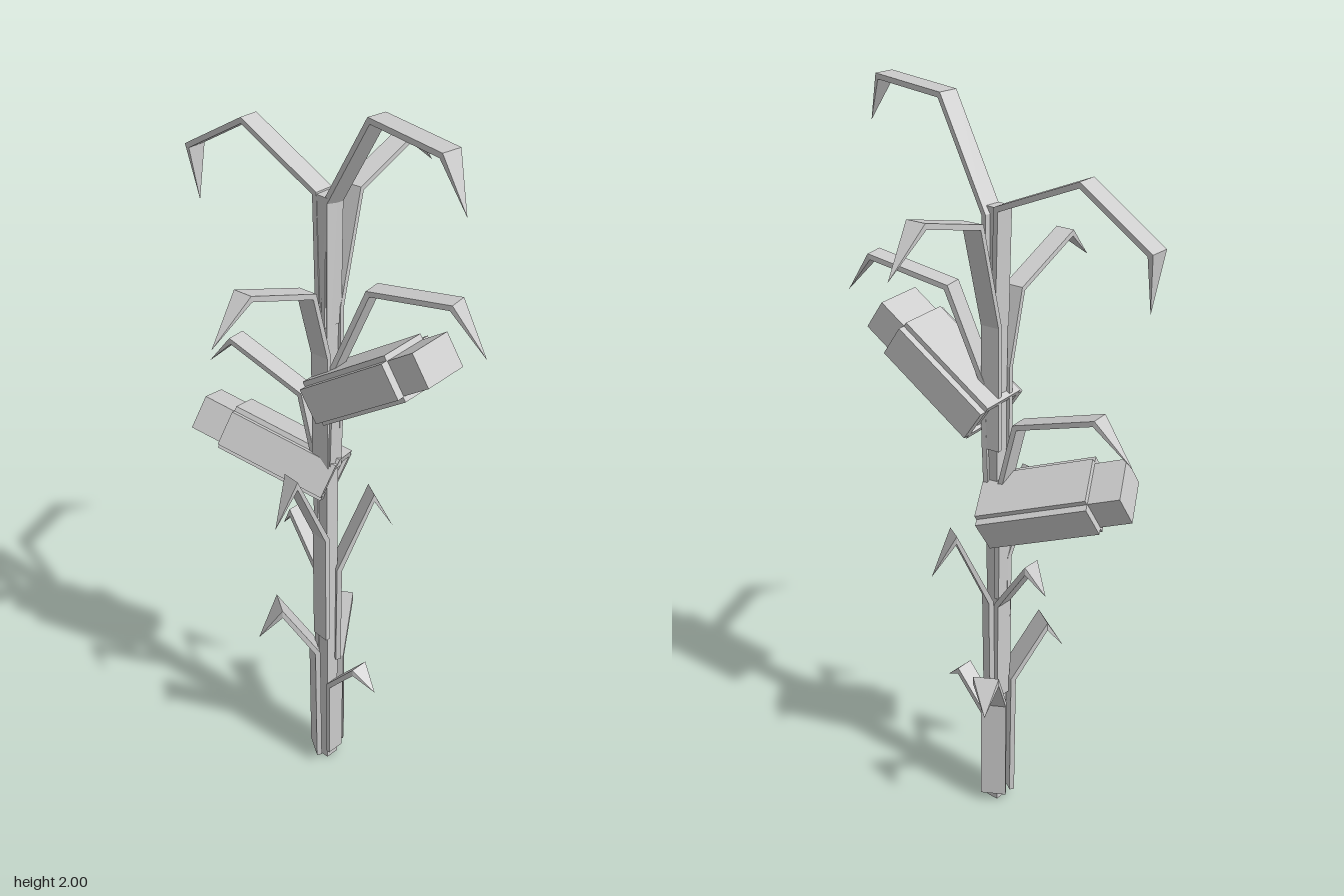
import * as THREE from 'three';

const V = (a) => new THREE.Vector3(...a);
const mat = new THREE.MeshStandardMaterial({ color: 0xcccccc, flatShading: true, side: THREE.DoubleSide });

function mesh(geometry, name) {
  const m = new THREE.Mesh(geometry, mat);
  m.name = name;
  return m;
}

// Bent strip with a rectangular section, ending in a point
function leafGeometry(path, width, thick) {
  const pts = path.map(V);
  const last = pts.length - 1;
  const run = pts[last].clone().sub(pts[0]);
  const side = new THREE.Vector3(run.z, 0, -run.x).normalize();
  const rings = pts.map((p, i) => {
    const before = p.clone().sub(pts[Math.max(i - 1, 0)]).normalize();
    const after = pts[Math.min(i + 1, last)].clone().sub(p).normalize();
    const tangent = before.clone().add(after).normalize();
    const normal = tangent.clone().cross(side).normalize();
    // Mitre the bends so the thickness stays even
    const miter = i > 0 && i < last ? 1 / Math.max(tangent.dot(after), 0.6) : 1;
    const k = i === last ? 0 : 0.5;
    return [[1, 1], [-1, 1], [-1, -1], [1, -1]].map(([a, b]) => p.clone()
      .addScaledVector(side, a * k * width)
      .addScaledVector(normal, b * k * thick * miter));
  });
  const out = [];
  const tri = (...c) => c.forEach((v) => out.push(v.x, v.y, v.z));
  for (let i = 0; i < last; i++) {
    for (let j = 0; j < 4; j++) {
      const a = rings[i][j], b = rings[i][(j + 1) % 4];
      const c = rings[i + 1][(j + 1) % 4], d = rings[i + 1][j];
      tri(a, b, c);
      if (i < last - 1) tri(a, c, d);
    }
  }
  const [a, b, c, d] = rings[0];
  tri(a, c, b);
  tri(a, d, c);
  const g = new THREE.BufferGeometry();
  g.setAttribute('position', new THREE.Float32BufferAttribute(out, 3));
  g.computeVertexNormals();
  return g;
}

// Ear: a core box with four husk plates around it
function cob(start, end, up, name) {
  const s = V(start), dir = V(end).sub(s);
  const length = dir.length(), husk = length * 0.78;
  const z = dir.normalize();
  const x = V(up).cross(z).normalize();
  const y = z.clone().cross(x);
  const group = new THREE.Group();
  group.name = name;
  group.position.copy(s);
  group.quaternion.setFromRotationMatrix(new THREE.Matrix4().makeBasis(x, y, z));
  const box = (w, h, l, px, py, from, label) => {
    const m = mesh(new THREE.BoxGeometry(w, h, l), label);
    m.position.set(px, py, from + l / 2);
    group.add(m);
  };
  box(0.135, 0.092, length - 0.01, 0, 0, 0.01, 'kernelCore');
  for (const k of [-1, 1]) {
    box(0.025, 0.095, husk, k * 0.077, 0, 0, 'sideHusk');
    box(0.14, 0.018, husk, 0, k * 0.052, 0, 'flatHusk');
  }
  return group;
}

export function createModel() {
  const root = new THREE.Group();
  root.name = 'cornPlant';

  // Stalk
  const stalk = mesh(new THREE.BoxGeometry(0.04, 1.76, 0.036), 'stalk');
  stalk.position.set(-0.013, 0.88, 0);
  root.add(stalk);

  // Leaves: sheath foot, bends, tip
  const leaves = {
    crownBackLeaf: [[-0.01, 1.45, -0.012], [-0.008, 1.76, -0.022], [-0.005, 1.87, -0.27], [-0.005, 1.75, -0.47], [-0.005, 1.6, -0.46]],
    crownFrontLeaf: [[-0.012, 1.42, 0.012], [-0.005, 1.74, 0.01], [-0.03, 1.995, 0.17], [-0.068, 1.995, 0.41], [-0.076, 1.87, 0.47]],
    upperLeftLeaf: [[0.008, 1.12, 0], [0.012, 1.46, -0.003], [0.095, 1.74, -0.018], [0.315, 1.805, -0.044], [0.42, 1.7, -0.052]],
    upperRightLeaf: [[-0.034, 1, 0], [-0.036, 1.34, 0], [-0.09, 1.53, 0.006], [-0.31, 1.613, 0.024], [-0.42, 1.52, 0.033]],
    upperFrontLeaf: [[-0.01, 1, 0.018], [-0.005, 1.3, 0.024], [0.02, 1.54, 0.12], [0.052, 1.575, 0.35], [0.06, 1.46, 0.44]],
    middleBackLeaf: [[-0.013, 0.68, -0.018], [-0.013, 1, -0.022], [-0.02, 1.2, -0.07], [-0.042, 1.275, -0.3], [-0.05, 1.17, -0.4]],
    middleLeftLeaf: [[0.01, 0.36, 0.008], [0.012, 0.67, 0.01], [0.1, 0.885, 0.052], [0.15, 0.77, 0.086]],
    middleRightLeaf: [[-0.036, 0.45, 0], [-0.038, 0.79, 0], [-0.135, 1.005, -0.01], [-0.19, 0.88, -0.015]],
    lowerBackLeaf: [[-0.01, 0.36, -0.02], [-0.01, 0.66, -0.022], [-0.01, 0.805, -0.12], [-0.01, 0.735, -0.17]],
    lowerFrontLeaf: [[-0.013, 0.03, 0.024], [-0.013, 0.28, 0.026], [-0.013, 0.385, 0.12], [-0.013, 0.335, 0.18]],
    baseLeftLeaf: [[0.018, 0.03, -0.015], [0.02, 0.34, -0.017], [0.105, 0.48, -0.062], [0.15, 0.4, -0.095]],
    baseRightLeaf: [[-0.045, 0.03, -0.015], [-0.047, 0.41, -0.017], [-0.128, 0.565, -0.07], [-0.18, 0.47, -0.1]],
  };
  const widths = { baseLeftLeaf: 0.07, baseRightLeaf: 0.075 };
  for (const [name, path] of Object.entries(leaves)) {
    root.add(mesh(leafGeometry(path, widths[name] ?? 0.052, 0.014), name));
  }

  // Ears
  root.add(cob([0, 1.215, 0], [0.023, 1.43, 0.325], [0, 1, 0], 'frontCob'));
  root.add(cob([0.025, 0.95, -0.005], [-0.112, 1.07, -0.35], [0.42, 0.9, 0], 'backCob'));
  return root;
}
